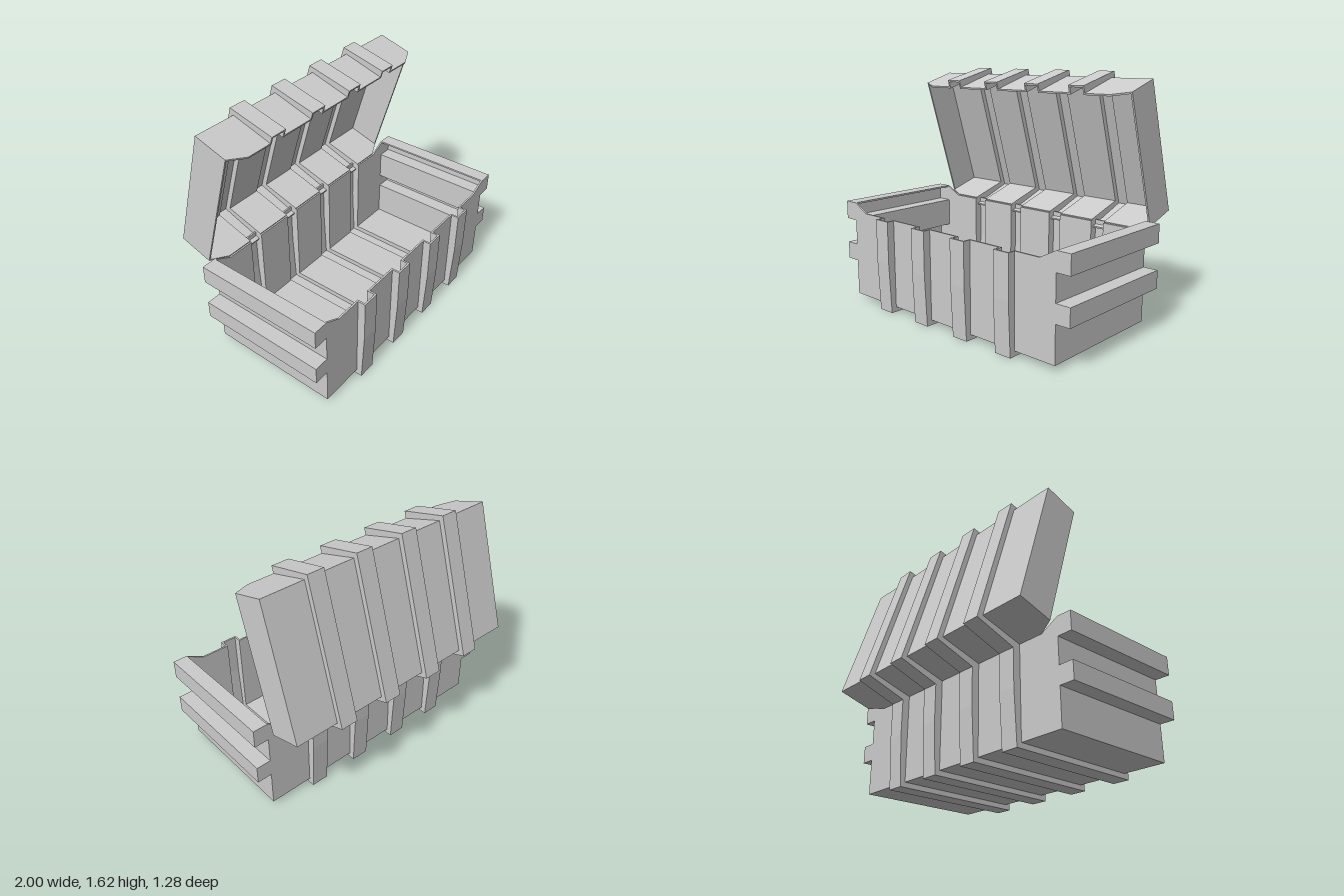
import * as THREE from 'three';

const T = 0.012;                          // wall thickness
const RIBS = [-0.54, -0.18, 0.18, 0.54];  // rib centres
const RIB_W = 0.12;
const END = 0.9;                          // half length of the body

const material = new THREE.MeshStandardMaterial({
  color: 0xcccccc, flatShading: true, side: THREE.DoubleSide,
});

function add(parent, name, geometry, x = 0, y = 0, z = 0) {
  const mesh = new THREE.Mesh(geometry, material);
  mesh.name = name;
  mesh.position.set(x, y, z);
  parent.add(mesh);
}

function extrude(points, depth) {
  const shape = new THREE.Shape(points.map(([a, b]) => new THREE.Vector2(a, b)));
  return new THREE.ExtrudeGeometry(shape, { depth, bevelEnabled: false });
}

// Extrude a (z, y) outline along x, centred on x = 0
function extrudeX(points, width) {
  return extrude(points, width).translate(0, 0, -width / 2).rotateY(-Math.PI / 2);
}

// Thin-walled half of the crate with hollow ribs; s = +1 when the floor is below the rim
function buildHalf(parent, { z0, z1, rim, floor, s, ribOuter, cornerPanel, floorName }) {
  const depth = z1 - z0, midZ = (z0 + z1) / 2;

  const floorPlate = (x, w) => add(parent, floorName,
    new THREE.BoxGeometry(w, T, depth - 2 * T), x, floor + s * T / 2, midZ);

  // Flat bays between the ribs
  const bay = RIBS[1] - RIBS[0] - RIB_W;
  for (let i = 0; i < RIBS.length - 1; i++) {
    const x = (RIBS[i] + RIBS[i + 1]) / 2;
    floorPlate(x, bay);
    for (const z of [z0 + T / 2, z1 - T / 2]) {
      add(parent, 'wallPanel', new THREE.BoxGeometry(bay, Math.abs(rim - floor), T),
        x, (rim + floor) / 2, z);
    }
  }

  // End bays with cut corners
  for (const side of [-1, 1]) {
    floorPlate(side * (0.6 + END - T) / 2, END - T - 0.6);
    const outline = cornerPanel.map(([x, y]) => [side * x, y]);
    for (const z of [z0, z1 - T]) add(parent, 'cornerPanel', extrude(outline, T), 0, 0, z);
  }

  // Hollow ribs: an outer band and two cheeks stepping in to the wall
  const bandInner = ribOuter.map(([z, y], i) => [
    z + (z > midZ ? -T : T),
    y + (i === 2 || i === 3 ? s * T : 0),
  ]).reverse();
  const wallInner = [[z0 + T, rim], [z0 + T, floor + s * T], [z1 - T, floor + s * T], [z1 - T, rim]];
  const band = extrudeX([...ribOuter, ...bandInner], RIB_W - 2 * T);
  const cheek = extrudeX([...ribOuter, ...wallInner], T);
  for (const x of RIBS) {
    add(parent, 'ribBand', band, x);
    for (const side of [-1, 1]) add(parent, 'ribCheek', cheek, x + side * (RIB_W - T) / 2);
  }
}

function buildBase() {
  const base = new THREE.Group();
  base.name = 'base';
  const z0 = -0.31, z1 = 0.59, rim = 0.638, floor = 0.035;
  buildHalf(base, {
    z0, z1, rim, floor, s: 1, floorName: 'baseFloor',
    ribOuter: [[0.643, rim], [0.643, 0.35], [0.627, 0], [-0.345, 0], [-0.362, 0.35], [-0.362, rim]],
    cornerPanel: [[0.6, floor], [END, floor], [END, 0.28], [1, 0.28], [1, 0.4], [END, 0.4],
      [END, 0.575], [1, 0.575], [1, 0.7], [END, 0.7], [0.78, rim], [0.6, rim]],
  });

  // End walls folded outward into two hollow handle rails
  const wall = [
    [END, floor], [END, 0.28], [1, 0.28], [1, 0.4], [END, 0.4], [END, 0.575], [1, 0.575], [1, 0.7], [END, 0.7],
    [END, 0.7 - T], [1 - T, 0.7 - T], [1 - T, 0.575 + T], [END - T, 0.575 + T], [END - T, 0.4 - T],
    [1 - T, 0.4 - T], [1 - T, 0.28 + T], [END - T, 0.28 + T], [END - T, floor],
  ];
  for (const side of [-1, 1]) {
    add(base, 'endWallWithRails',
      extrude(wall.map(([x, y]) => [side * x, y]), z1 - z0 - 2 * T), 0, 0, z0 + T);
  }
  return base;
}

function buildLid() {
  const lid = new THREE.Group();
  lid.name = 'lid';
  const depth = 0.9, top = 0.3, cut = 0.06;
  buildHalf(lid, {
    z0: 0, z1: depth, rim: 0, floor: top, s: -1, floorName: 'lidRoof',
    ribOuter: [[0.948, 0], [0.948, 0.02], [0.932, 0.335], [-0.034, 0.335], [-0.05, 0.02], [-0.05, 0]],
    cornerPanel: [[0.6, 0], [0.78, 0], [END, cut], [END, top], [0.6, top]],
  });
  for (const side of [-1, 1]) {
    add(lid, 'lidEndWall', new THREE.BoxGeometry(T, top - cut, depth - 2 * T),
      side * (END - T / 2), (top + cut) / 2, depth / 2);
  }
  // Swung open about the back rim
  lid.position.set(0, 0.635, -0.31);
  lid.rotation.x = -1.276;
  return lid;
}

export function createModel() {
  const crate = new THREE.Group();
  crate.name = 'openCrate';
  crate.add(buildBase(), buildLid());
  return crate;
}
